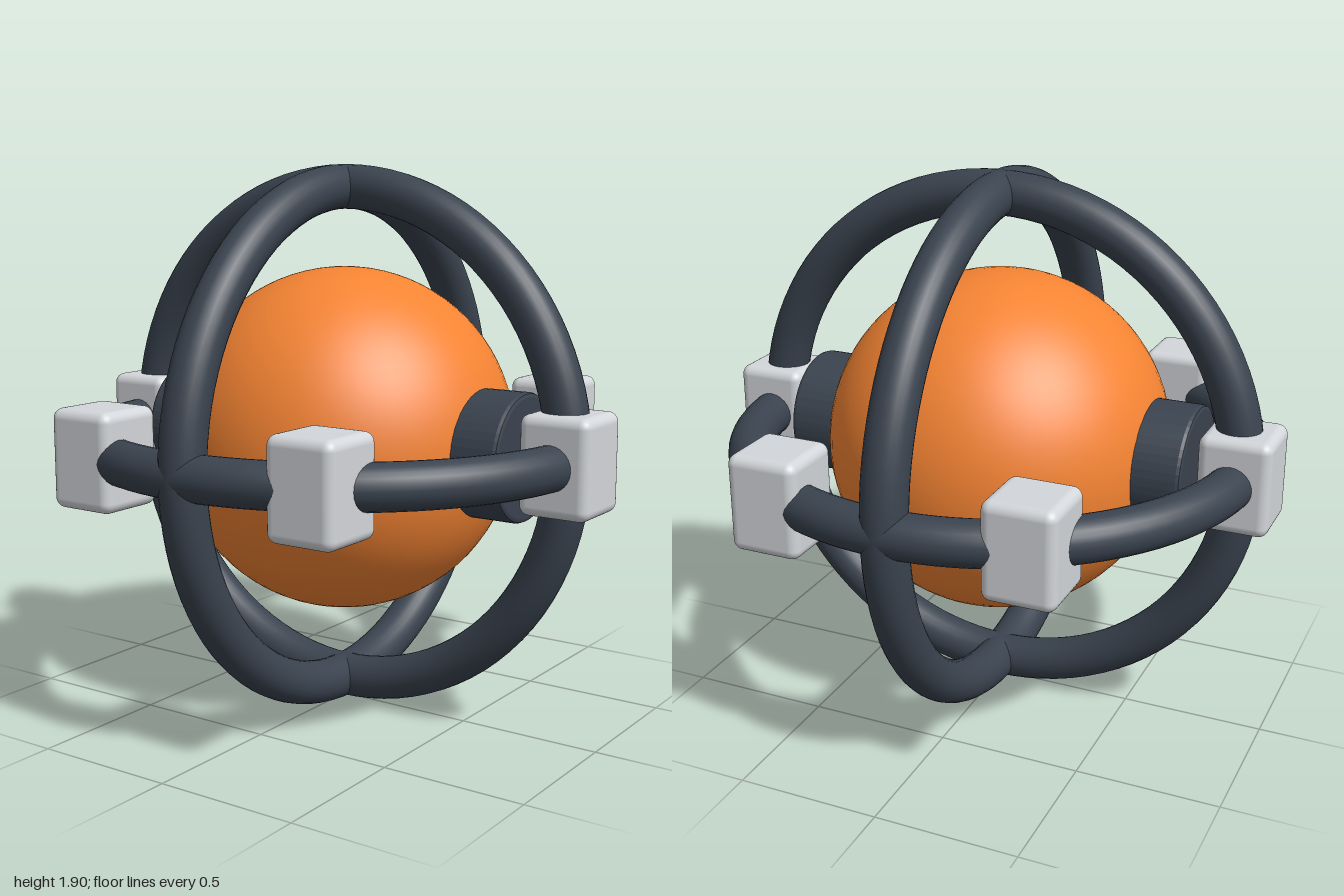
import * as THREE from 'three';
import { RoundedBoxGeometry } from 'three/addons/geometries/RoundedBoxGeometry.js';

const CENTER = 0.952, RING = 0.876, TUBE = 0.076;

export function createModel() {
  const model = new THREE.Group();
  const orange = new THREE.MeshStandardMaterial({ color: 0xf58433 });
  const dark = new THREE.MeshStandardMaterial({ color: 0x3a434f });
  const light = new THREE.MeshStandardMaterial({ color: 0xd3d6da });

  const add = (name, geometry, material, x = 0, z = 0) => {
    const mesh = new THREE.Mesh(geometry, material);
    mesh.name = name;
    mesh.position.set(x, CENTER, z);
    model.add(mesh);
    return mesh;
  };

  // Central ball
  add('core', new THREE.SphereGeometry(0.602, 64, 40), orange);

  // Cage of three crossing rings
  const ring = new THREE.TorusGeometry(RING, TUBE, 24, 96);
  add('frontRing', ring, dark);
  add('sideRing', ring, dark).rotation.y = Math.PI / 2;
  add('equatorRing', ring, dark).rotation.x = Math.PI / 2;

  // Side hubs: short drums with softly bevelled rims
  const profile = [[0, 0.4], [0.217, 0.4], [0.217, 0.712], [0.213, 0.723], [0.202, 0.727], [0, 0.727]];
  // Doubled points keep the rim edges crisp
  const points = profile.flatMap(([r, y]) => [new THREE.Vector2(r, y), new THREE.Vector2(r, y)]);
  const hub = new THREE.LatheGeometry(points.slice(1, -1), 48).toNonIndexed();
  hub.computeVertexNormals();
  const drum = new THREE.CylinderGeometry(0.217, 0.217, 0.312, 48, 1, true);
  for (const side of [-1, 1]) {
    const name = side > 0 ? 'leftHub' : 'rightHub';
    add(name, hub, dark).rotation.z = -side * Math.PI / 2;
    // Smooth outer wall over the faceted drum
    add(name + 'Wall', drum, dark, side * 0.556).rotation.z = -side * Math.PI / 2;
  }

  // Six axis-aligned blocks spaced around the equator
  const block = new RoundedBoxGeometry(0.248, 0.332, 0.248, 4, 0.035);
  for (let i = 0; i < 6; i++) {
    const a = i * Math.PI / 3;
    add('block' + (i + 1), block, light, RING * Math.cos(a), RING * Math.sin(a));
  }
  return model;
}
